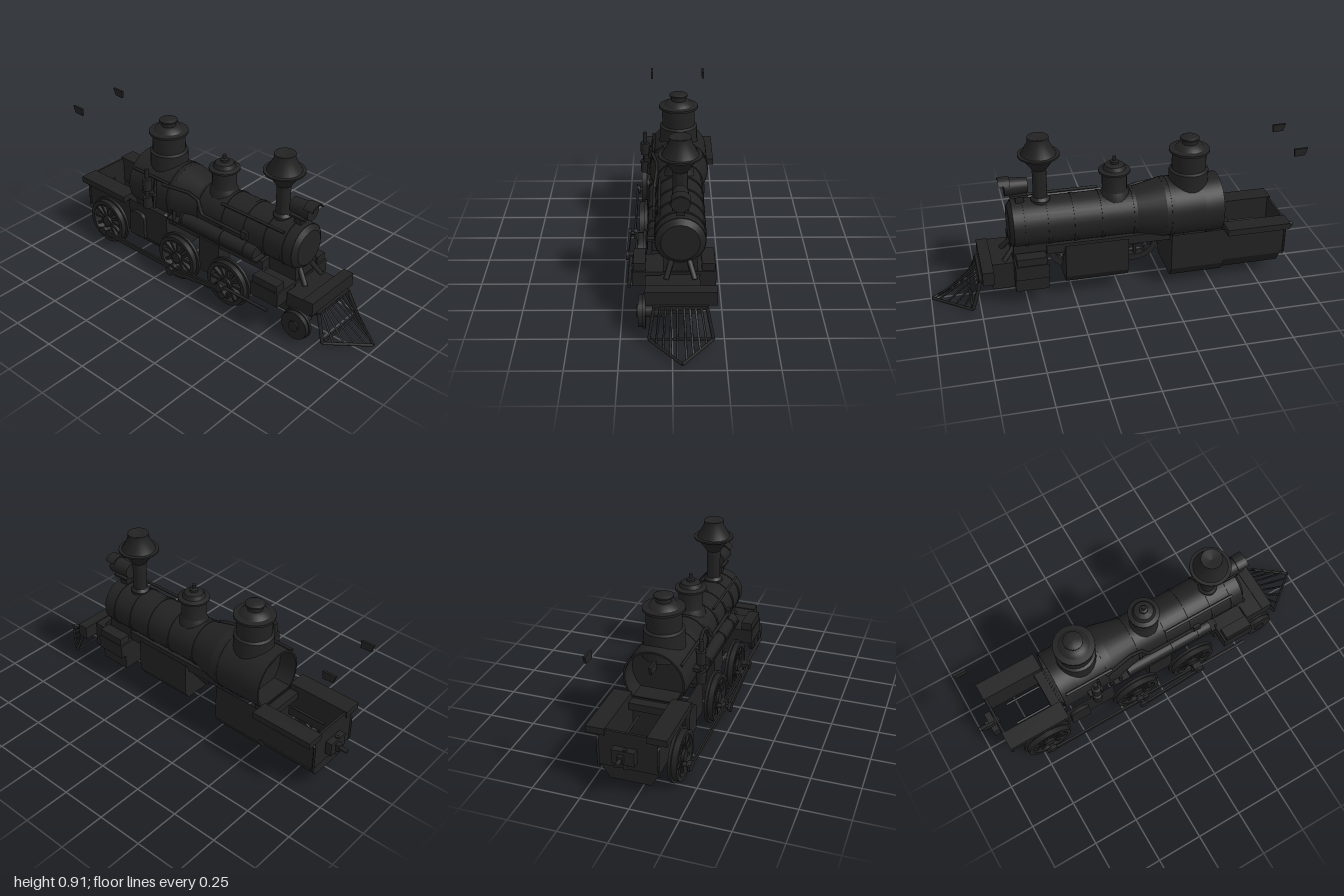
import * as THREE from 'three';
import { toCreasedNormals } from 'three/addons/utils/BufferGeometryUtils.js';

const CZ = -0.04; // boiler centre line

export function createModel() {
  const root = new THREE.Group();
  root.name = 'steamLocomotive';
  const iron = new THREE.MeshStandardMaterial({ color: 0x222222 });
  iron.name = 'blackIron';

  const add = (name, geo, parent = root) => {
    const m = new THREE.Mesh(geo, iron);
    m.name = name;
    parent.add(m);
    return m;
  };
  const box = (name, x0, x1, y0, y1, z0, z1, parent) => add(name,
    new THREE.BoxGeometry(x1 - x0, y1 - y0, z1 - z0)
      .translate((x0 + x1) / 2, (y0 + y1) / 2, (z0 + z1) / 2), parent);
  // Cylinder along x
  const cylX = (name, x0, x1, r0, r1, y, z, seg = 24) => add(name,
    new THREE.CylinderGeometry(r1, r0, x1 - x0, seg).rotateZ(-Math.PI / 2)
      .translate((x0 + x1) / 2, y, z));
  // Cylinder along z
  const cylZ = (name, x, y, z0, z1, r, seg = 24, parent) => add(name,
    new THREE.CylinderGeometry(r, r, z1 - z0, seg).rotateX(Math.PI / 2)
      .translate(x, y, (z0 + z1) / 2), parent);
  const lathe = (name, x, z, pts, seg = 24) => add(name, toCreasedNormals(
    new THREE.LatheGeometry(pts.map(p => new THREE.Vector2(...p)), seg), 0.6).translate(x, 0, z));
  // Outline across the boiler, extruded along x
  const extrudeX = (name, shape, x0, x1) => add(name, toCreasedNormals(new THREE.ExtrudeGeometry(shape,
    { depth: x1 - x0, bevelEnabled: false, curveSegments: 20 }), 0.5).rotateY(Math.PI / 2).translate(x0, 0, CZ));
  // Straight bar between two points
  const bar = (name, a, b, r, seg = 6) => {
    const A = new THREE.Vector3(...a), B = new THREE.Vector3(...b), d = B.clone().sub(A);
    const m = add(name, new THREE.CylinderGeometry(r, r, d.length(), seg));
    m.position.copy(A).add(B).multiplyScalar(0.5);
    m.quaternion.setFromUnitVectors(new THREE.Vector3(0, 1, 0), d.normalize());
  };
  const pipe = (name, pts, r) => add(name, new THREE.TubeGeometry(
    new THREE.CatmullRomCurve3(pts.map(p => new THREE.Vector3(...p)), false, 'catmullrom', 0.1), 40, r, 6));
  // Open-topped sheet shell: [z, y] section swept along x, with both ends closed
  const shell = (name, x0, x1, sec) => {
    const v = [], put = (x, p) => v.push(x, p[1], p[0]);
    for (let i = 0; i < sec.length - 1; i++) {
      const p = sec[i], q = sec[i + 1];
      put(x0, p); put(x1, p); put(x1, q);
      put(x0, p); put(x1, q); put(x0, q);
      if (i) {
        put(x0, sec[0]); put(x0, p); put(x0, q);
        put(x1, sec[0]); put(x1, q); put(x1, p);
      }
    }
    const g = new THREE.BufferGeometry();
    g.setAttribute('position', new THREE.Float32BufferAttribute(v, 3));
    g.computeVertexNormals();
    return add(name, g);
  };

  // Boiler barrel, taper and round-sided firebox with a recessed back
  cylX('boilerBarrel', -0.1, 0.555, 0.125, 0.125, 0.43, CZ, 32);
  cylX('boilerTaper', -0.24, -0.09, 0.16, 0.125, 0.43, CZ, 32);
  cylX('smokeboxDoor', 0.555, 0.575, 0.122, 0.095, 0.43, CZ, 32);
  const roundOutline = (target, r) => {
    target.absarc(0, 0.43, r, -0.76, Math.PI + 0.76, false);
    target.closePath();
    return target;
  };
  const hood = roundOutline(new THREE.Shape(), 0.16);
  hood.holes.push(roundOutline(new THREE.Path(), 0.15));
  extrudeX('fireboxHood', hood, -0.55, -0.45);
  extrudeX('firebox', roundOutline(new THREE.Shape(), 0.16), -0.45, -0.24);
  for (const x of [-0.08, 0.09, 0.235, 0.37, 0.49])
    cylX('boilerBand', x - 0.008, x + 0.008, 0.129, 0.129, 0.43, CZ, 32);
  cylX('fireboxBand', -0.285, -0.265, 0.163, 0.163, 0.43, CZ, 32);

  // Chimney and domes
  lathe('chimney', 0.4, CZ, [[0.05, 0.53], [0.05, 0.56], [0.037, 0.575], [0.037, 0.73], [0.045, 0.74],
    [0.09, 0.805], [0.107, 0.806], [0.107, 0.815], [0.09, 0.816], [0.055, 0.88], [0.055, 0.907], [0.045, 0.907], [0, 0.89]]);
  lathe('sandDome', 0.01, CZ, [[0.085, 0.5], [0.075, 0.555], [0.065, 0.57], [0.065, 0.67], [0.083, 0.672],
    [0.083, 0.682], [0.06, 0.69], [0.05, 0.71], [0.022, 0.718], [0.022, 0.73], [0.01, 0.735], [0.01, 0.755], [0, 0.757]]);
  lathe('steamDome', -0.39, CZ, [[0.115, 0.5], [0.104, 0.57], [0.104, 0.642], [0.09, 0.65], [0.09, 0.745], [0.107, 0.748],
    [0.107, 0.76], [0.08, 0.765], [0.06, 0.785], [0.04, 0.79], [0.04, 0.812], [0.05, 0.814], [0.05, 0.822], [0.035, 0.83], [0, 0.83]]);

  // Headlamp with a curved visor, on its bracket
  box('lampBracket', 0.47, 0.56, 0.595, 0.607, CZ - 0.04, CZ + 0.04);
  box('lampPost', 0.485, 0.53, 0.53, 0.6, CZ - 0.02, CZ + 0.02);
  cylX('headlamp', 0.465, 0.585, 0.04, 0.047, 0.645, CZ);
  const visor = new THREE.Shape();
  visor.absarc(0, 0.645, 0.053, 0.5, Math.PI - 0.5, false);
  visor.absarc(0, 0.645, 0.046, Math.PI - 0.5, 0.5, true);
  extrudeX('lampVisor', visor, 0.555, 0.615);

  // Rear bunker: shell, side tanks, ledges and back wall
  shell('rearBody', -0.885, -0.56, [[-0.185, 0.33], [-0.185, 0.14], [-0.14, 0.07], [0.07, 0.07], [0.11, 0.14], [0.11, 0.33]]);
  shell('fireboxBody', -0.56, -0.27, [[-0.185, 0.33], [-0.185, 0.12], [-0.15, 0.065], [0.08, 0.065], [0.12, 0.12], [0.12, 0.33]]);
  for (const [zo0, zo1, zt0, zt1] of [[-0.245, -0.15, -0.185, -0.15], [0.06, 0.16, 0.06, 0.11]]) {
    box('tankLedge', -0.905, -0.56, 0.32, 0.355, zo0, zo1);
    box('sideTank', -0.888, -0.56, 0.15, 0.33, zt0, zt1);
  }
  box('backWall', -0.9, -0.888, 0.15, 0.35, -0.185, 0.11);
  box('footplate', -0.61, -0.5, 0.28, 0.32, -0.15, 0.06);
  for (const z of [-0.1, 0.02]) bar('bunkerRail', [-0.81, 0.25, z], [-0.61, 0.25, z], 0.007);
  const hatch = new THREE.Shape();
  hatch.moveTo(-0.055, 0).lineTo(0.055, 0).lineTo(0.055, 0.12);
  hatch.quadraticCurveTo(0.05, 0.155, 0, 0.155).quadraticCurveTo(-0.05, 0.155, -0.055, 0.12);
  add('sideHatch', new THREE.ExtrudeGeometry(hatch, { depth: 0.02, bevelEnabled: false }).translate(-0.485, 0.125, 0.12));
  for (const z of [-0.19, 0.115])
    pipe('cornerHandrail', [[-0.89, 0.3, z], [-0.9, 0.29, z], [-0.9, 0.15, z], [-0.89, 0.14, z]], 0.006);
  const plate = new THREE.Shape();
  plate.moveTo(-0.967, 0.73).lineTo(-0.91, 0.727).lineTo(-0.908, 0.768).lineTo(-0.98, 0.77);
  for (const z of [-0.199, 0.107])
    add('markerPlate', new THREE.ExtrudeGeometry(plate, { depth: 0.012, bevelEnabled: false }).translate(0, 0, z));

  // Rear coupler
  box('couplerShank', -0.96, -0.88, 0.215, 0.255, CZ - 0.03, CZ);
  box('couplerHead', -0.94, -0.905, 0.2, 0.275, CZ - 0.065, CZ + 0.05);
  bar('couplerBar', [-1, 0.235, CZ - 0.015], [-0.93, 0.235, CZ - 0.015], 0.012);
  bar('couplerPin', [-0.925, 0.17, CZ], [-0.925, 0.28, CZ], 0.012);

  // Frame, centre box, running board and air tank
  box('frameRail', -0.28, 0.39, 0.28, 0.33, -0.14, 0.1);
  shell('centreBox', -0.04, 0.295, [[-0.165, 0.33], [-0.165, 0.14], [-0.14, 0.1], [0, 0.1]]);
  box('axleGuide', -0.04, 0.1, 0.09, 0.3, 0.02, 0.11);
  box('runningBoard', -0.26, 0.37, 0.325, 0.335, 0.05, 0.125);
  cylX('airTank', -0.17, 0.34, 0.038, 0.038, 0.352, 0.085, 20);
  for (const x of [-0.17, 0.1, 0.26]) cylX('tankStrap', x, x + 0.014, 0.042, 0.042, 0.352, 0.085, 20);

  // Front cylinders, saddle and bumper
  box('frontBox', 0.39, 0.565, 0.1, 0.235, -0.185, 0.095);
  box('frontNeck', 0.56, 0.68, 0.1, 0.25, -0.135, 0.055);
  box('cylinderBlock', 0.39, 0.565, 0.185, 0.265, -0.215, 0.195);
  box('rightValveChest', 0.4, 0.555, 0.26, 0.305, 0.13, 0.19);
  box('leftValveChest', 0.4, 0.555, 0.26, 0.305, -0.21, -0.145);
  box('saddle', 0.39, 0.56, 0.24, 0.36, -0.125, 0.045);
  for (const z of [-0.11, 0.03]) bar('smokeboxBrace', [0.55, 0.325, z * 0.6 - 0.016], [0.612, 0.25, z], 0.014);
  box('bumperBeam', 0.675, 0.735, 0.18, 0.255, -0.215, 0.13);
  box('axleBox', 0.575, 0.72, 0.17, 0.25, 0.05, 0.13);

  // Pilot: V-shaped foot and slats
  const tip = [0.993, 0.032, -0.045];
  box('pilotTop', 0.73, 0.75, 0.165, 0.185, -0.17, 0.093);
  for (const [z, zt] of [[-0.195, -0.165], [0.112, 0.088]]) {
    bar('pilotFoot', [0.795, 0.032, z], tip, 0.008, 4);
    bar('pilotEdge', [0.745, 0.177, zt], [0.795, 0.032, z], 0.01, 4);
    for (let i = 1; i <= 4; i++) {
      const t = i / 4.6;
      bar('pilotSlat', [0.745, 0.175, zt + (CZ - zt) * t],
        [0.795 + 0.195 * t, 0.032, z + (tip[2] - z) * t], 0.006, 4);
    }
  }
  bar('pilotBackBar', [0.795, 0.032, -0.195], [0.795, 0.032, 0.112], 0.008, 4);

  // Spoked driving wheels
  const ring = (ro, ri, depth) => {
    const s = new THREE.Shape().absarc(0, 0, ro, 0, Math.PI * 2, false);
    s.holes.push(new THREE.Path().absarc(0, 0, ri, 0, Math.PI * 2, true));
    return toCreasedNormals(new THREE.ExtrudeGeometry(s, { depth, bevelEnabled: false, curveSegments: 20 }), 0.5);
  };
  for (const x of [-0.7, -0.15, 0.205]) {
    const w = new THREE.Group();
    w.name = 'drivingWheel';
    w.position.set(x, 0.142, 0.132);
    add('flange', ring(0.14, 0.105, 0.015), w);
    add('tyre', ring(0.127, 0.105, 0.043), w);
    cylZ('hub', 0, 0, 0, 0.045, 0.032, 16, w);
    for (let i = 0; i < 12; i++) {
      const s = box('spoke', 0.02, 0.112, -0.007, 0.007, 0.012, 0.032, w);
      s.rotation.z = i * Math.PI / 6;
    }
    const cw = new THREE.Shape().absarc(0, 0, 0.11, 0.9, 2.2, false);
    add('counterweight', new THREE.ExtrudeGeometry(cw, { depth: 0.025, bevelEnabled: false })
      .translate(0, 0, 0.01), w);
    cylZ('crankPin', 0, -0.052, 0.02, 0.075, 0.012, 12, w);
    cylZ('rodBoss', 0, -0.052, 0.055, 0.077, 0.025, 16, w);
    root.add(w);
  }
  // Solid leading wheel
  cylZ('leadingWheel', 0.65, 0.097, 0.13, 0.165, 0.078, 28);
  cylZ('leadingFlange', 0.65, 0.097, 0.128, 0.142, 0.085, 28);
  cylZ('leadingHub', 0.65, 0.097, 0.05, 0.172, 0.03, 16);

  // Side rods and crosshead
  box('rearCouplingRod', -0.735, -0.1, 0.077, 0.104, 0.197, 0.208);
  box('frontCouplingRod', -0.15, 0.24, 0.077, 0.104, 0.186, 0.196);
  const main = box('mainRod', -0.19, 0.19, -0.013, 0.013, -0.006, 0.006);
  main.position.set(0.035, 0.122, 0.231);
  main.rotation.z = 0.17;
  cylZ('mainRodEnd', -0.145, 0.09, 0.224, 0.239, 0.025, 16);
  cylZ('mainCrankPin', -0.145, 0.09, 0.2, 0.228, 0.01, 12);
  cylZ('crossheadEnd', 0.21, 0.153, 0.224, 0.239, 0.025, 16);
  box('crosshead', 0.185, 0.235, 0.143, 0.164, 0.19, 0.236);
  bar('pistonRod', [0.19, 0.153, 0.213], [0.515, 0.153, 0.213], 0.009, 8);

  // Air pump on the firebox side
  lathe('airPump', -0.38, 0.147, [[0, 0.365], [0.026, 0.365], [0.026, 0.43], [0.014, 0.432], [0.014, 0.47],
    [0.025, 0.472], [0.025, 0.54], [0.012, 0.542], [0.012, 0.6], [0, 0.6]], 14);
  box('pumpBracket', -0.42, -0.34, 0.44, 0.46, 0.09, 0.15);

  // Handrails and pipework
  pipe('fireboxHandrail', [[-0.53, 0.53, 0.098], [-0.26, 0.53, 0.098]], 0.008);
  bar('boilerHandrail', [0.08, 0.535, 0.063], [0.49, 0.535, 0.063], 0.008);
  pipe('feedPipe', [[-0.3, 0.52, 0.11], [-0.14, 0.52, 0.08], [-0.07, 0.5, 0.08], [-0.03, 0.435, 0.092], [0.25, 0.43, 0.092]], 0.009);
  box('checkValve', 0.24, 0.28, 0.41, 0.455, 0.07, 0.1);
  bar('steamPipe', [-0.35, 0.36, 0.13], [-0.35, 0.53, 0.115], 0.008);
  bar('drainPipe', [-0.22, 0.3, 0.11], [-0.22, 0.39, 0.11], 0.01);

  return root;
}
